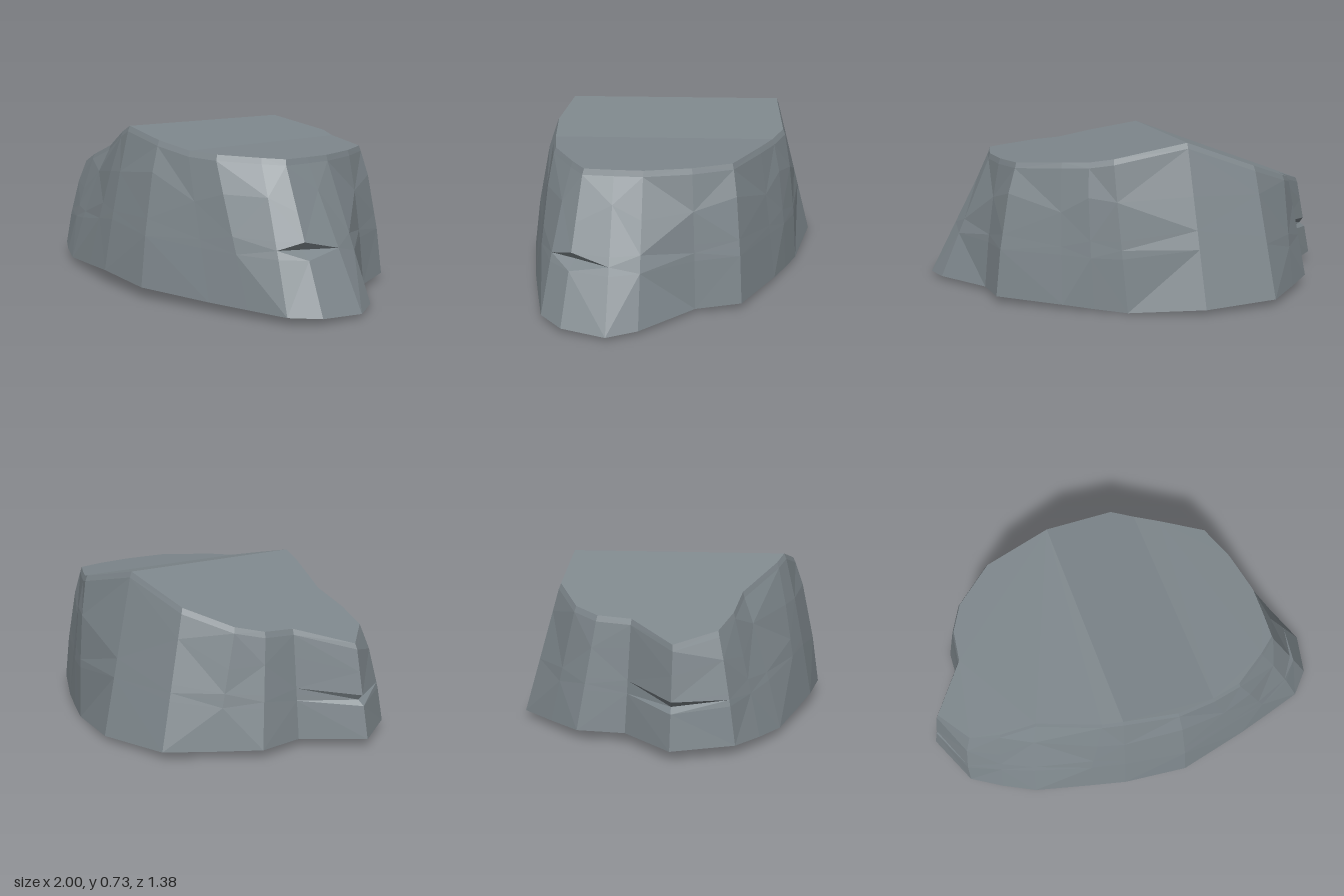
import * as THREE from 'three';

// Outline points, anticlockwise seen from above, starting at the left-hand tip.
// Brow of the rock: x, z
const TOP = [
  [-0.91, 0.10], [-0.80, 0.27], [-0.66, 0.32], [-0.49, 0.345], [-0.22, 0.48], [-0.13, 0.51],
  [0.12, 0.55], [0.30, 0.535], [0.44, 0.51], [0.60, 0.41], [0.68, 0.35], [0.69, 0.22],
  [0.695, 0.10], [0.66, -0.10], [0.60, -0.27], [0.41, -0.39], [0.30, -0.455], [0.20, -0.51],
  [-0.13, -0.50], [-0.45, -0.48], [-0.64, -0.36], [-0.71, -0.25], [-0.73, -0.10],
];
// Foot of the rock: x, y, z
const FOOT = [
  [-1, 0.04, 0.10], [-0.89, 0.04, 0.35], [-0.75, 0.035, 0.44], [-0.60, 0.03, 0.52], [-0.35, 0.05, 0.595],
  [-0.16, 0.065, 0.65], [0.15, 0.05, 0.69], [0.50, 0.04, 0.62], [0.68, 0.035, 0.575], [0.85, 0.03, 0.53],
  [0.95, 0.025, 0.43], [1, 0.015, 0.24], [0.95, 0.02, 0.11], [0.75, 0.02, -0.12], [0.71, 0.03, -0.32],
  [0.43, 0.02, -0.48], [0.30, 0.01, -0.54], [0.16, 0, -0.60], [-0.17, 0.02, -0.695], [-0.51, 0.03, -0.645],
  [-0.66, 0.035, -0.48], [-0.79, 0.04, -0.33], [-0.80, 0.04, -0.12],
];
const N = TOP.length;

// Height of the sloping top along x
const SLOPE = [[-0.91, 0.45], [-0.13, 0.73], [0.30, 0.65], [0.70, 0.628]];
function topHeight(x) {
  let k = 0;
  while (k < SLOPE.length - 2 && x > SLOPE[k + 1][0]) k++;
  const [x0, y0] = SLOPE[k], [x1, y1] = SLOPE[k + 1];
  return y0 + (y1 - y0) * (x - x0) / (x1 - x0);
}

function geometry(triangles) {
  const g = new THREE.BufferGeometry().setFromPoints(triangles);
  g.computeVertexNormals();
  return g;
}

export function createModel() {
  const group = new THREE.Group();
  group.name = 'rock';
  const stone = new THREE.MeshStandardMaterial({ color: 0x7d868b });
  stone.name = 'stone grey';
  stone.flatShading = true;
  stone.side = THREE.DoubleSide;

  const brow = TOP.map(([x, z]) => new THREE.Vector3(x, topHeight(x), z));
  const foot = FOOT.map((p) => new THREE.Vector3(...p));
  const rim = brow.map((p) => new THREE.Vector3(p.x * 1.012, p.y - 0.025, p.z * 1.02));

  // Rings up the wall, slightly bulged and uneven, with two small chipped dents
  const levels = [0.37, 0.43, 0.49, 0.75];
  const dents = { 0: 0.025, 10: 0.04 };
  const rings = [foot];
  levels.forEach((t, level) => {
    rings.push(foot.map((f, i) => {
      const wobble = Math.sin(i * 2.4);
      const p = f.clone().lerp(rim[i], t + (level === 3 ? 0.07 * wobble : 0));
      const out = new THREE.Vector3(p.x, 0, p.z).normalize();
      let push = 0.01 + 0.006 * wobble;
      if (i === 0 || (i > 9 && i < 13) || i > 17) push = 0;
      if (level === 1) push -= dents[i] || 0;
      return p.addScaledVector(out, push);
    }));
  });
  rings.push(rim, brow);

  // Wall: facets between neighbouring rings
  const wall = [];
  for (let r = 0; r < rings.length - 1; r++) {
    for (let i = 0; i < N; i++) {
      const j = (i + 1) % N;
      const a = rings[r][i], b = rings[r][j], c = rings[r + 1][j], d = rings[r + 1][i];
      if ((i + r) % 2) wall.push(a, b, c, a, c, d);
      else wall.push(a, b, d, b, c, d);
    }
  }
  const wallMesh = new THREE.Mesh(geometry(wall), stone);
  wallMesh.name = 'wall';
  group.add(wallMesh);

  // Top: three flat slopes meeting along folds
  const slopes = [
    [18, 19, 20, 21, 22, 0, 1, 2, 3, 4, 5],
    [5, 6, 7, 16, 17, 18],
    [7, 8, 9, 10, 11, 12, 13, 14, 15, 16],
  ];
  const cap = [];
  for (const slope of slopes) {
    const pts = slope.map((i) => brow[i]);
    const flat = pts.map((p) => new THREE.Vector2(p.x, -p.z));
    for (const face of THREE.ShapeUtils.triangulateShape(flat, [])) {
      cap.push(...face.map((k) => pts[k]));
    }
  }
  const capMesh = new THREE.Mesh(geometry(cap), stone);
  capMesh.name = 'top';
  group.add(capMesh);

  return group;
}
